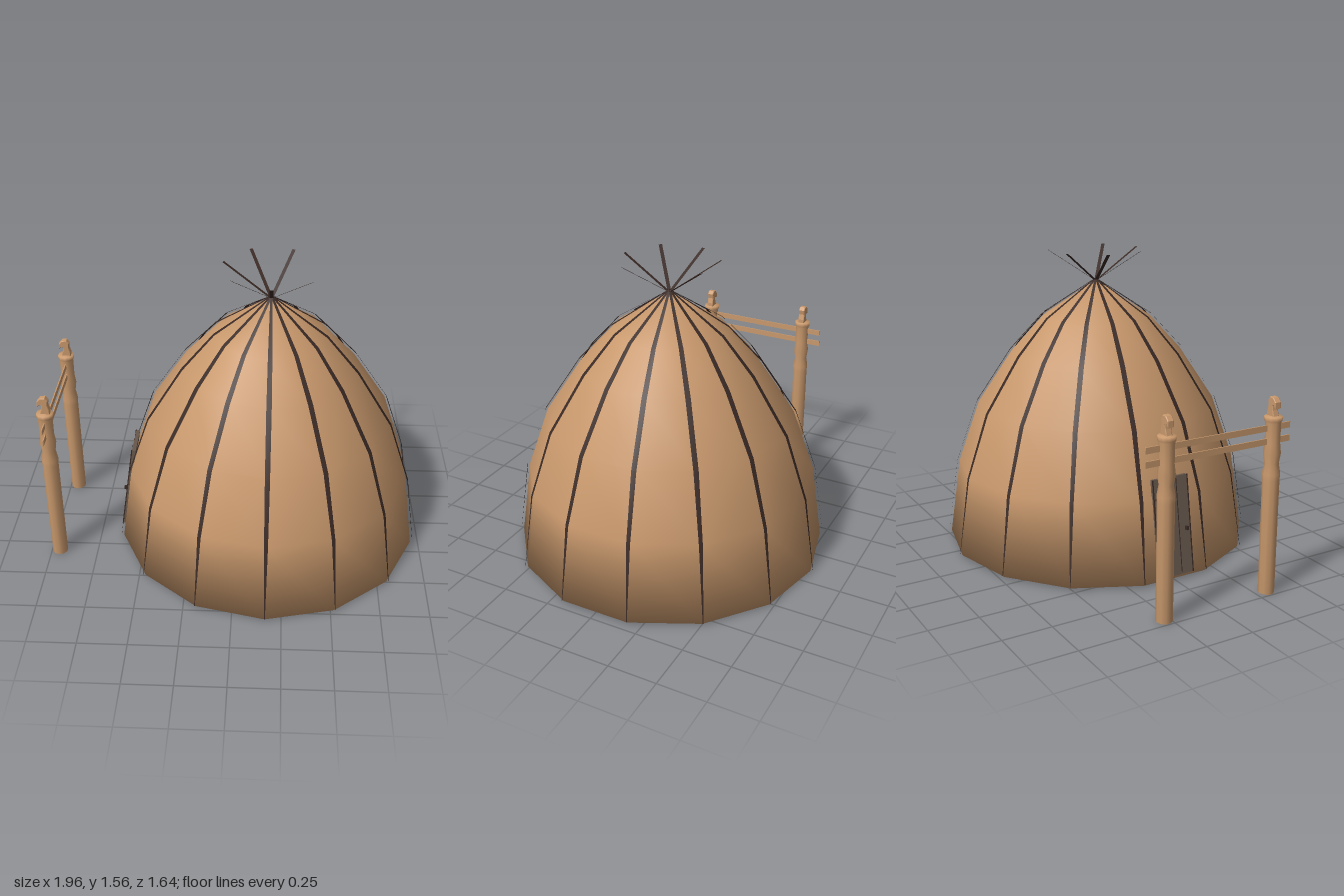
import * as THREE from 'three';
import { mergeVertices } from 'three/addons/utils/BufferGeometryUtils.js';

const mat = (name, color, side = THREE.FrontSide) => {
  const m = new THREE.MeshStandardMaterial({ color, side });
  m.name = name;
  return m;
};
const SIDES = 14, CX = 0.167, CZ = 0;

export function createModel() {
  const hide = mat('tan hide', 0xc8986c);
  const pole = mat('dark pole wood', 0x3a2a25, THREE.DoubleSide);
  const doorWood = mat('door wood', 0x6a5a4e);

  const model = new THREE.Group();
  model.name = 'domedHut';
  const add = (name, geo, material, parent = model, pos = [0, 0, 0]) => {
    const mesh = new THREE.Mesh(geo, material);
    mesh.name = name;
    mesh.position.set(...pos);
    parent.add(mesh);
    return mesh;
  };
  const v2 = (pts) => pts.map(([x, y]) => new THREE.Vector2(x, y));

  // Dome cover: fourteen-sided, smooth, closed underneath
  const profile = [[0.81, 0.03], [0.75, 0.44], [0.635, 0.77], [0.45, 1.05], [0.285, 1.23], [0, 1.42]];
  let dome = new THREE.LatheGeometry(v2([[0, 0.03], ...profile]), SIDES);
  dome.deleteAttribute('normal');
  dome.deleteAttribute('uv');
  dome = mergeVertices(dome, 1e-4);
  dome.computeVertexNormals();
  add('domeCover', dome, hide, model, [CX, 0, CZ]);

  // Flat strip following [radius, height, halfWidth] rows, in the plane facing +z
  const strip = (rows) => {
    const geo = new THREE.PlaneGeometry(1, 1, 1, rows.length - 1);
    const p = geo.attributes.position;
    for (let i = 0; i < p.count; i++) {
      const [r, y, w] = rows[Math.floor(i / 2)];
      p.setXYZ(i, i % 2 ? w : -w, y, r);
    }
    geo.computeVertexNormals();
    return geo;
  };

  // Ribs over every corner of the dome, tapering to the ground
  const ribGeo = strip([[0.004, 1.428, 0.006], [0.292, 1.239, 0.011], [0.459, 1.056, 0.013],
    [0.645, 0.774, 0.0125], [0.761, 0.443, 0.0095], [0.822, 0.04, 0.002]]);
  for (let i = 0; i < SIDES; i++) {
    const rib = add('rib' + (i + 1), ribGeo, pole, model, [CX, 0, CZ]);
    rib.rotation.y = (i / SIDES) * Math.PI * 2;
  }

  // Pole ends crossing above the peak
  const tipGeo = strip([[0.25, 1.58, 0.009], [0, 1.415, 0.009]]);
  [0, 2, 12, 10, 8, 6].forEach((k, i) => {
    const tip = add('poleEnd' + (i + 1), tipGeo, pole, model, [CX, 0, CZ]);
    tip.rotation.y = (k / SIDES) * Math.PI * 2;
    if (k === 10) tip.rotation.y -= 0.03;
  });

  // Door leaning against the wall on the model's right
  const door = new THREE.Group();
  door.name = 'door';
  door.position.set(-0.59, 0.295, 0);
  door.rotation.z = -0.15;
  model.add(door);
  add('doorPanel', new THREE.BoxGeometry(0.02, 0.5, 0.2), doorWood, door);
  for (const s of [-1, 1]) {
    add('doorSeam', new THREE.BoxGeometry(0.004, 0.48, 0.003), pole, door, [-0.011, 0, s * 0.034]);
    add('doorEdge', new THREE.BoxGeometry(0.006, 0.5, 0.005), pole, door, [-0.011, 0, s * 0.1]);
    add('doorHinge', new THREE.BoxGeometry(0.006, 0.012, 0.08), pole, door, [-0.012, s * 0.15, -0.05]);
  }
  add('doorHandle', new THREE.BoxGeometry(0.02, 0.02, 0.012), pole, door, [-0.018, -0.02, 0.075]);

  // Carved posts with a hooked beak on top
  const postGeo = new THREE.LatheGeometry(v2([[0, 0.02], [0.04, 0.02], [0.041, 0.6], [0.043, 0.63],
    [0.034, 0.68], [0.042, 0.73], [0.036, 0.78], [0.037, 0.88], [0.043, 0.89], [0.043, 0.91], [0, 0.915]]), 10);
  const beak = new THREE.Shape(v2([[0.026, 0.9], [0.026, 0.93], [0.018, 0.96], [0.022, 0.985], [0.01, 1.0],
    [-0.012, 0.998], [-0.028, 0.98], [-0.03, 0.955], [-0.02, 0.966], [-0.004, 0.964], [-0.008, 0.94], [-0.022, 0.9]].reverse()));
  const beakGeo = new THREE.ExtrudeGeometry(beak, {
    depth: 0.026, bevelEnabled: true, bevelSize: 0.003, bevelThickness: 0.004, bevelSegments: 1 });
  beakGeo.translate(0, 0, -0.013);
  [-0.28, 0.31].forEach((z) => {
    const post = new THREE.Group();
    post.name = z > 0 ? 'frontPost' : 'backPost';
    post.position.set(-0.955, 0, z);
    model.add(post);
    add('postShaft', postGeo, hide, post);
    add('postHead', beakGeo, hide, post);
  });

  // Thin rails joining the posts
  for (const y of [0.79, 0.855]) {
    add('rail', new THREE.BoxGeometry(0.006, 0.03, 0.8), hide, model, [-0.955, y, 0.01]);
  }
  return model;
}
